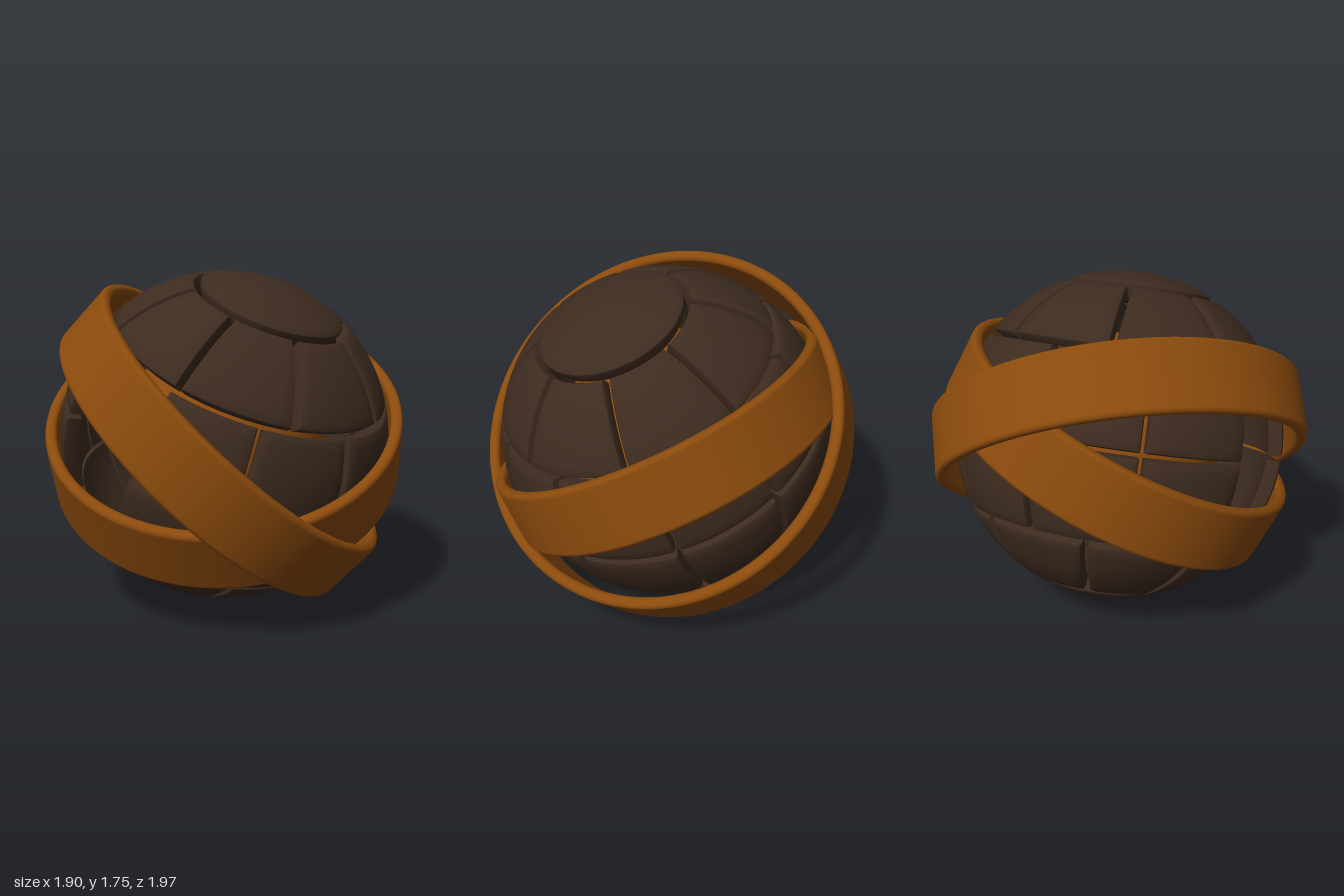
import * as THREE from 'three';
import { toCreasedNormals } from 'three/addons/utils/BufferGeometryUtils.js';

const R = 0.877, INNER = 0.8, BEVEL = 0.022, GAP = 0.013;
const rad = THREE.MathUtils.degToRad;

// How far the outer face falls at distance d from a plate edge
const drop = d => d >= BEVEL ? 0 : BEVEL - Math.sqrt(BEVEL ** 2 - (BEVEL - d) ** 2);

// Distances along an edge of length L, packed closely in the two bevels
function stops(L, n) {
  const list = [0, 0.3 * BEVEL];
  for (let i = 0; i <= n; i++) list.push(BEVEL + (L - 2 * BEVEL) * i / n);
  return [...list, L - 0.3 * BEVEL, L];
}

// Curved plate between two polar angles and two longitudes (degrees)
function plateGeometry(t0, t1, p0, p1) {
  const n = 10, segs = n + 4;
  const a0 = rad(t0) + GAP / R, a1 = rad(t1) - GAP / R;
  const lenV = (a1 - a0) * R, vs = stops(lenV, n);
  const geo = new THREE.BoxGeometry(1, 1, 1, segs, 1, segs);
  const pos = geo.attributes.position;
  for (let i = 0; i < pos.count; i++) {
    const iu = Math.round((pos.getX(i) + 0.5) * segs);
    const iv = Math.round((pos.getZ(i) + 0.5) * segs);
    const theta = a1 - vs[iv] / R;
    const ring = R * Math.sin(theta);
    const lenU = rad(p1 - p0) * ring - 2 * GAP;
    const u = stops(lenU, n)[iu];
    const phi = rad(p0) + (GAP + u) / ring;
    const fall = Math.max(drop(Math.min(u, lenU - u)), drop(Math.min(vs[iv], lenV - vs[iv])));
    const r = pos.getY(i) > 0 ? R - fall : INNER;
    pos.setXYZ(i, r * Math.sin(theta) * Math.cos(phi), r * Math.cos(theta), r * Math.sin(theta) * Math.sin(phi));
  }
  return toCreasedNormals(geo, 0.8);
}

// Round polar cap with a bevelled rim
function capGeometry(t1) {
  const end = rad(t1) - GAP / R, points = [];
  const add = (r, t) => points.push(new THREE.Vector2(r * Math.sin(t), r * Math.cos(t)));
  for (let i = 0; i <= 6; i++) add(INNER, end * i / 6);
  for (const d of stops(end * R * 2, 28)) {
    if (d < end * R) add(R - drop(d), end - d / R);
  }
  points.push(new THREE.Vector2(0, R));
  return toCreasedNormals(new THREE.LatheGeometry(points, 64), 0.8);
}

// Wide hoop with a rounded-rectangle section
function hoopGeometry(inner, outer, half) {
  const c = 0.026, points = [new THREE.Vector2(inner, 0)];
  const corners = [[inner + c, -half + c, 180], [outer - c, -half + c, 270],
    [outer - c, half - c, 0], [inner + c, half - c, 90]];
  for (const [x, y, start] of corners) {
    for (let i = 0; i <= 6; i++) {
      const a = rad(start + i * 15);
      points.push(new THREE.Vector2(x + c * Math.cos(a), y + c * Math.sin(a)));
    }
  }
  points.push(new THREE.Vector2(inner, 0));
  return new THREE.LatheGeometry(points, 128);
}

export function createModel() {
  const model = new THREE.Group();
  const dark = new THREE.MeshStandardMaterial({ color: 0x3d2b1f });
  dark.name = 'dark brown';
  const orange = new THREE.MeshStandardMaterial({ color: 0x8a4a0c });
  orange.name = 'burnt orange';

  const ball = new THREE.Group();
  ball.name = 'ball';
  ball.position.y = 0.88;
  model.add(ball);
  const add = (parent, name, geo, mat) => {
    const mesh = new THREE.Mesh(geo, mat);
    mesh.name = name;
    parent.add(mesh);
    return mesh;
  };

  // Inner core, seen through the gaps
  add(ball, 'core', new THREE.SphereGeometry(0.55, 48, 32), orange);

  // Plated shell on a tilted axis
  const shell = new THREE.Group();
  shell.name = 'shell';
  shell.rotation.z = -rad(23.5);
  ball.add(shell);
  add(shell, 'topCap', capGeometry(27), dark);
  add(shell, 'bottomCap', capGeometry(27), dark).rotation.x = Math.PI;

  // Rows: polar angles, plate count, first seam, index of the left-out plate
  const rows = [
    ['upperPlate', 27, 58.5, 8, 33.75, -1],
    ['upperMiddlePlate', 58.5, 90, 10, 10, 2],
    ['lowerMiddlePlate', 90, 121.5, 10, 10, 2],
    ['lowerPlate', 121.5, 153, 8, 33.75, -1],
  ];
  for (const [name, t0, t1, count, first, open] of rows) {
    const step = 360 / count;
    for (let k = 0; k < count; k++) {
      if (k === open) continue;
      add(shell, name, plateGeometry(t0, t1, first + k * step, first + (k + 1) * step), dark);
    }
  }

  // Two crossing hoops, set by their axes
  const up = new THREE.Vector3(0, 1, 0);
  const hoops = [
    ['outerHoop', 0.93, 0.992, 0.18, [0.59, 0.73, -0.34]],
    ['innerHoop', 0.88, 0.942, 0.18, [0.261, 0.878, 0.401]],
  ];
  for (const [name, inner, outer, half, axis] of hoops) {
    const hoop = add(ball, name, hoopGeometry(inner, outer, half), orange);
    hoop.quaternion.setFromUnitVectors(up, new THREE.Vector3(...axis).normalize());
  }
  return model;
}
